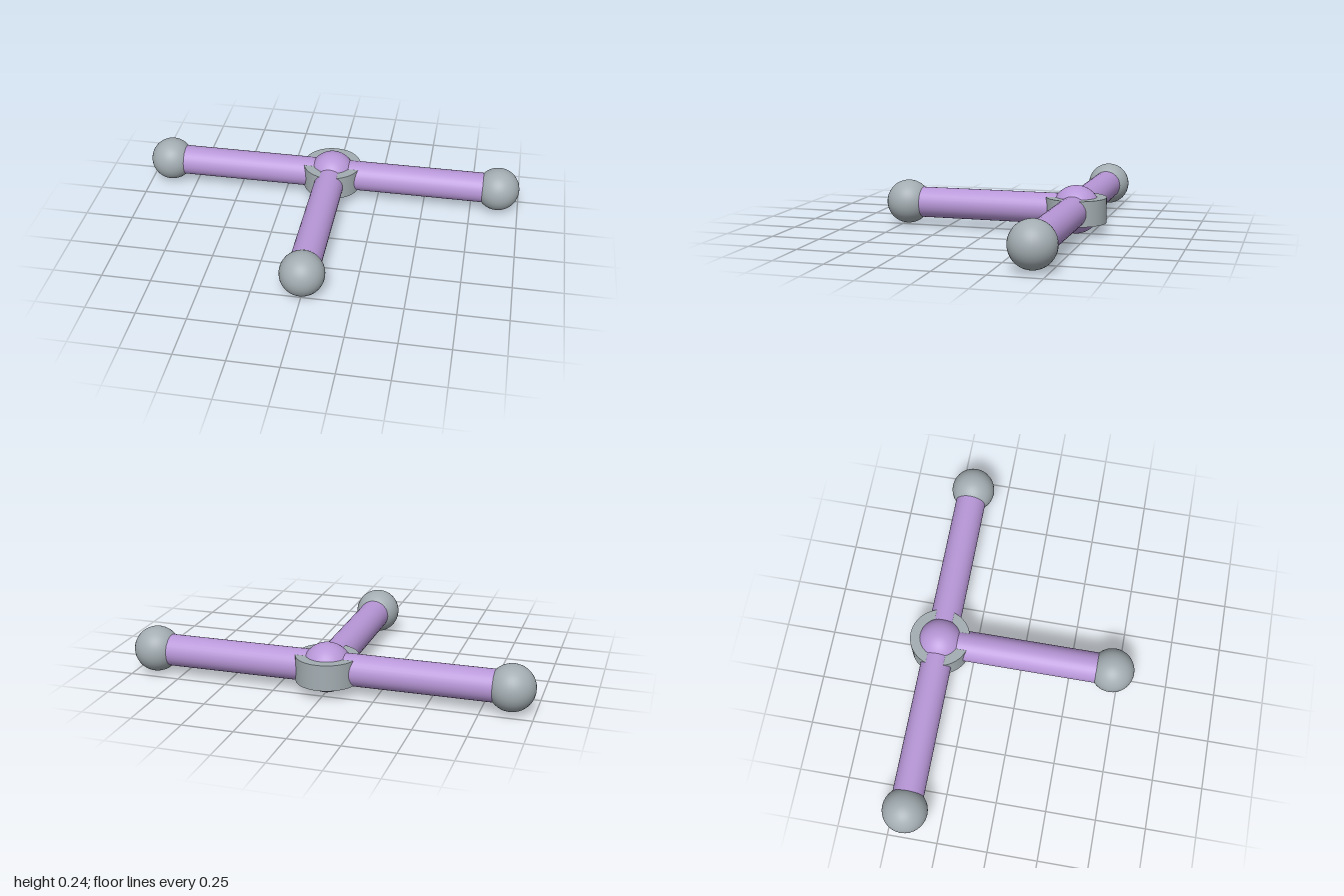
import * as THREE from 'three';

const CY = 0.121, CZ = -0.424; // hub centre
const ARM = 0.888;             // hub centre to ball centre

export function createModel() {
  const purple = new THREE.MeshStandardMaterial({ color: 0xb897d8 });
  purple.name = 'purple';
  const grey = new THREE.MeshStandardMaterial({ color: 0xa3adb2 });
  grey.name = 'grey';

  const model = new THREE.Group();
  model.name = 'threeWayConnector';

  const add = (parent, name, geometry, material) => {
    const mesh = new THREE.Mesh(geometry, material);
    mesh.name = name;
    parent.add(mesh);
    return mesh;
  };

  // Hub: a ball with a thick flat disc around its middle
  const hub = new THREE.Group();
  hub.name = 'hub';
  hub.position.set(0, CY, CZ);
  add(hub, 'hubBall', new THREE.SphereGeometry(0.121, 32, 24), purple);
  add(hub, 'hubDisc', new THREE.CylinderGeometry(0.152, 0.152, 0.127, 48), grey);
  model.add(hub);

  // Three arms, each a rod along +z ending in a ball
  const rodGeometry = new THREE.CylinderGeometry(0.078, 0.078, ARM, 32);
  rodGeometry.rotateX(Math.PI / 2).translate(0, 0, ARM / 2);
  const ballGeometry = new THREE.SphereGeometry(0.112, 32, 24);
  const arms = { front: 0, left: Math.PI / 2, right: -Math.PI / 2 };
  for (const [side, angle] of Object.entries(arms)) {
    const arm = new THREE.Group();
    arm.name = side + 'Arm';
    arm.rotation.y = angle;
    add(arm, side + 'Rod', rodGeometry, purple);
    add(arm, side + 'Ball', ballGeometry, grey).position.z = ARM;
    hub.add(arm);
  }
  return model;
}
